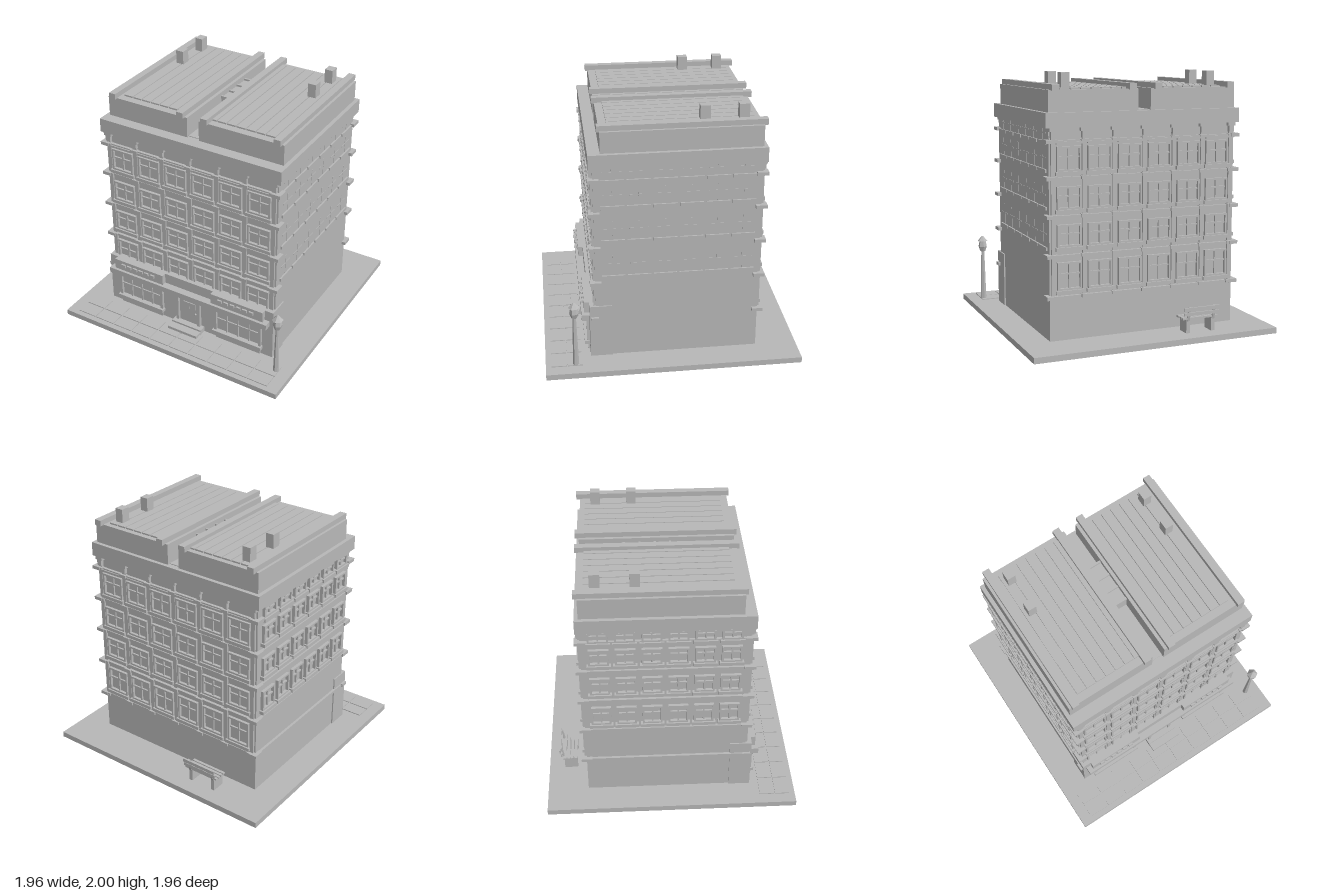
import * as THREE from 'three';

export function createModel() {
  const model = new THREE.Group();
  model.name = 'townBuilding';
  const grey = new THREE.MeshStandardMaterial({ name: 'stoneGrey', color: 0xb8b8b8 });
  grey.flatShading = true;

  const add = (parent, name, geo, x, y, z) => {
    const m = new THREE.Mesh(geo, grey);
    m.name = name;
    m.position.set(x, y, z);
    parent.add(m);
    return m;
  };
  // Box given by its min and max on each axis
  const box = (parent, name, x0, x1, y0, y1, z0, z1) =>
    add(parent, name, new THREE.BoxGeometry(x1 - x0, y1 - y0, z1 - z0), (x0 + x1) / 2, (y0 + y1) / 2, (z0 + z1) / 2);
  const group = (name, parent = model) => {
    const g = new THREE.Group();
    g.name = name;
    parent.add(g);
    return g;
  };

  // Ground slab and paving tiles
  box(model, 'groundSlab', -0.98, 0.98, 0, 0.045, -0.98, 0.98);
  const paving = group('paving');
  for (let i = 0; i < 10; i++)
    for (let j = 0; j < 2; j++) {
      const x = -0.89 + i * 0.178, z = 0.7 + j * 0.122;
      box(paving, 'pavingTile', x, x + 0.168, 0.045, 0.052, z, z + 0.114);
    }

  // Main body, cornice
  box(model, 'mainWalls', -0.75, 0.75, 0.045, 1.62, -0.66, 0.58);
  box(model, 'cornice', -0.78, 0.78, 1.61, 1.72, -0.69, 0.61);

  // Window: frame, mullions, sill; local z = 0 is the wall
  const windowUnit = (parent, x, y0, y1, w, depth) => {
    const g = group('window', parent), h = w / 2, t = 0.014;
    box(g, 'frameLeft', x - h, x - h + t, y0, y1, 0, depth);
    box(g, 'frameRight', x + h - t, x + h, y0, y1, 0, depth);
    box(g, 'frameTop', x - h, x + h, y1 - t, y1, 0, depth);
    box(g, 'frameBottom', x - h, x + h, y0, y0 + t, 0, depth);
    box(g, 'mullionUpright', x - 0.006, x + 0.006, y0, y1, 0, depth * 0.6);
    const ym = y0 + (y1 - y0) * 0.58;
    box(g, 'mullionCross', x - h, x + h, ym - 0.006, ym + 0.006, 0, depth * 0.6);
    box(g, 'sill', x - h - 0.014, x + h + 0.014, y0 - 0.027, y0, 0, depth + 0.012);
  };

  // Front and back facades: a grid of bands and pilasters around the windows
  const rows = [[0.425, 0.632], [0.745, 0.91], [1.02, 1.187], [1.297, 1.478]];
  const facade = (name, z, turn, low) => {
    const g = group(name);
    g.position.z = z;
    g.rotation.y = turn;
    for (let c = 0; c < 6; c++)
      for (const [a, b] of rows) windowUnit(g, (c - 2.5) * 0.24, a, b, 0.188, 0.022);
    for (const y of low ? [0.375, 0.68, 0.97, 1.25, 1.515] : [0.68, 0.97, 1.25, 1.515]) {
      box(g, 'floorBand', -0.75, 0.75, y - 0.012, y + 0.008, 0, 0.022);
      for (let c = 0; c < 7; c++) {
        const x = (c - 3) * 0.24;
        box(g, 'bandBlock', x - 0.03, x + 0.03, y - 0.012, y + 0.012, 0, 0.034);
      }
      for (const s of [-1, 1])
        box(g, 'cornerBlock', s * 0.745 - 0.035, s * 0.745 + 0.035, y - 0.013, y + 0.013, -0.045, 0.04);
    }
    for (let c = 0; c < 6; c++) {
      const x = (c - 2.5) * 0.24;
      box(g, 'topLintel', x - 0.1, x + 0.1, 1.495, 1.512, 0, 0.03);
    }
    for (let c = 0; c < 7; c++) {
      const x = (c - 3) * 0.24;
      box(g, 'pilaster', x - 0.017, x + 0.017, 0.38, 1.61, 0, 0.016);
      box(g, 'bracket', x - 0.032, x + 0.032, 1.585, 1.61, 0, 0.03);
      box(g, 'bracketFoot', x - 0.02, x + 0.02, 1.54, 1.59, 0, 0.026);
    }
  };
  facade('frontFacade', 0.58, 0, false);
  facade('backFacade', -0.66, Math.PI, true);

  // Side walls: framed windows on one side, slim crosses on the other
  const sideRows = [[0.742, 0.905], [1.038, 1.185], [1.313, 1.45], [1.518, 1.605]];
  const rightSide = group('rightSide'), leftSide = group('leftSide');
  rightSide.rotation.y = -Math.PI / 2;
  rightSide.position.x = -0.75;
  leftSide.rotation.y = Math.PI / 2;
  leftSide.position.x = 0.75;
  for (let c = 0; c < 6; c++) {
    const z = -0.53 + c * 0.194;
    for (const [a, b] of sideRows) {
      windowUnit(rightSide, z, a, b, 0.15, 0.024);
      box(leftSide, 'sideSill', -z - 0.088, -z + 0.088, a - 0.026, a - 0.002, 0, 0.012);
      box(leftSide, 'sideMullionUpright', -z - 0.005, -z + 0.005, a, b, 0, 0.003);
      const ym = (a + b) / 2 + 0.01;
      box(leftSide, 'sideMullionCross', -z - 0.07, -z + 0.07, ym - 0.005, ym + 0.005, 0, 0.003);
    }
  }
  for (const y of [0.375, 0.68, 0.97, 1.25, 1.515])
    box(rightSide, 'sideBand', -0.64, 0.56, y - 0.012, y + 0.01, 0, 0.02);

  // Roof: two blocks with rails, planks and chimneys
  const roof = group('roof');
  box(roof, 'roofGapFloor', -0.06, 0.06, 1.715, 1.725, -0.64, 0.5);
  for (const z of [-0.32, -0.2, -0.085, 0.03])
    box(roof, 'gapBeam', -0.06, 0.06, 1.83, 1.85, z - 0.008, z + 0.008);
  box(roof, 'gapWall', -0.06, 0.06, 1.72, 1.835, -0.32, 0.03);
  for (const s of [-1, 1]) {
    const half = group(s < 0 ? 'rightRoof' : 'leftRoof', roof);
    const b = (name, a, c, y0, y1, z0, z1) =>
      box(half, name, Math.min(s * a, s * c), Math.max(s * a, s * c), y0, y1, z0, z1);
    b('roofBlock', 0.05, 0.75, 1.72, 1.88, -0.66, 0.52);
    b('innerRail', 0.075, 0.13, 1.875, 1.92, -0.69, 0.54);
    b('outerRail', 0.675, 0.73, 1.875, 1.92, -0.69, 0.54);
    for (let i = 0; i < 7; i++) b('roofPlank', 0.645 - i * 0.08, 0.573 - i * 0.08, 1.88, 1.892, -0.62, 0.46);
    b('rearChimney', 0.555, 0.62, 1.88, 2, -0.575, -0.5);
    b('frontChimney', 0.555, 0.62, 1.88, 2, -0.29, -0.215);
  }

  // Shop front
  const shop = group('shopFront');
  box(shop, 'shopBlock', -0.76, 0.76, 0.045, 0.48, 0.46, 0.63);
  box(shop, 'shopBeam', -0.73, 0.73, 0.345, 0.392, 0.56, 0.69);
  box(shop, 'shopBeamEndRight', -0.78, -0.73, 0.365, 0.39, 0.56, 0.62);
  box(shop, 'shopBeamEndLeft', 0.73, 0.78, 0.365, 0.39, 0.56, 0.62);
  for (const s of [-1, 1]) {
    const cx = s * 0.455, g = group('shopWindow', shop);
    box(g, 'signBoard', cx - 0.232, cx + 0.232, 0.392, 0.48, 0.62, 0.668);
    for (let i = 0; i < 6; i++) {
      const x = cx - 0.145 + i * 0.056;
      box(g, 'signStud', x - 0.019, x + 0.019, 0.43, 0.455, 0.66, 0.682);
    }
    box(g, 'shopSill', cx - 0.22, cx + 0.22, 0.1, 0.128, 0.62, 0.67);
    box(g, 'shopApron', cx - 0.2, cx + 0.2, 0.045, 0.1, 0.62, 0.642);
    for (const e of [-0.2, 0.2]) box(g, 'shopPost', cx + e - 0.011, cx + e + 0.011, 0.128, 0.345, 0.62, 0.652);
    for (const e of [-0.1, 0, 0.1]) box(g, 'shopMullion', cx + e - 0.005, cx + e + 0.005, 0.128, 0.345, 0.62, 0.64);
    box(g, 'shopCrossBar', cx - 0.2, cx + 0.2, 0.232, 0.242, 0.62, 0.64);
  }

  // Door and step
  const door = group('door', shop);
  box(door, 'doorPanel', -0.082, 0.098, 0.088, 0.345, 0.62, 0.64);
  for (const x of [-0.1, 0.1]) box(door, 'doorPost', x - 0.012, x + 0.012, 0.06, 0.345, 0.62, 0.655);
  box(door, 'doorWindow', -0.048, 0.064, 0.23, 0.29, 0.64, 0.647);
  box(door, 'doorWindowBar', 0.005, 0.011, 0.23, 0.29, 0.64, 0.65);
  add(door, 'doorKnob', new THREE.SphereGeometry(0.009, 8, 6), 0.07, 0.195, 0.648);
  box(door, 'doorStep', -0.13, 0.14, 0.045, 0.09, 0.62, 0.69);
  box(door, 'lowerStep', -0.13, 0.14, 0.045, 0.075, 0.62, 0.755);

  // Street lamp
  const lamp = group('streetLamp');
  lamp.position.set(0.86, 0, 0.75);
  const tube = (name, rTop, rBottom, y0, y1) =>
    add(lamp, name, new THREE.CylinderGeometry(rTop, rBottom, y1 - y0, 6), 0, (y0 + y1) / 2, 0);
  tube('lampPost', 0.013, 0.024, 0.045, 0.47);
  tube('lampCup', 0.036, 0.022, 0.46, 0.5);
  tube('lampGlass', 0.026, 0.036, 0.5, 0.55);
  tube('lampRoof', 0.004, 0.044, 0.548, 0.59);

  // Bench
  const bench = group('bench');
  for (const x of [-0.49, -0.28]) {
    box(bench, 'benchLeg', x - 0.015, x + 0.015, 0.045, 0.152, -0.855, -0.75);
    const post = box(bench, 'benchBackPost', x - 0.01, x + 0.01, 0.14, 0.25, -0.872, -0.86);
    post.rotation.x = -0.2;
  }
  for (let i = 0; i < 4; i++) {
    const z = -0.862 + i * 0.03;
    box(bench, 'seatSlat', -0.53, -0.235, 0.152, 0.166, z, z + 0.022);
  }
  box(bench, 'lowerBackSlat', -0.53, -0.235, 0.185, 0.21, -0.882, -0.87);
  box(bench, 'upperBackSlat', -0.53, -0.235, 0.223, 0.25, -0.892, -0.88);

  return model;
}
